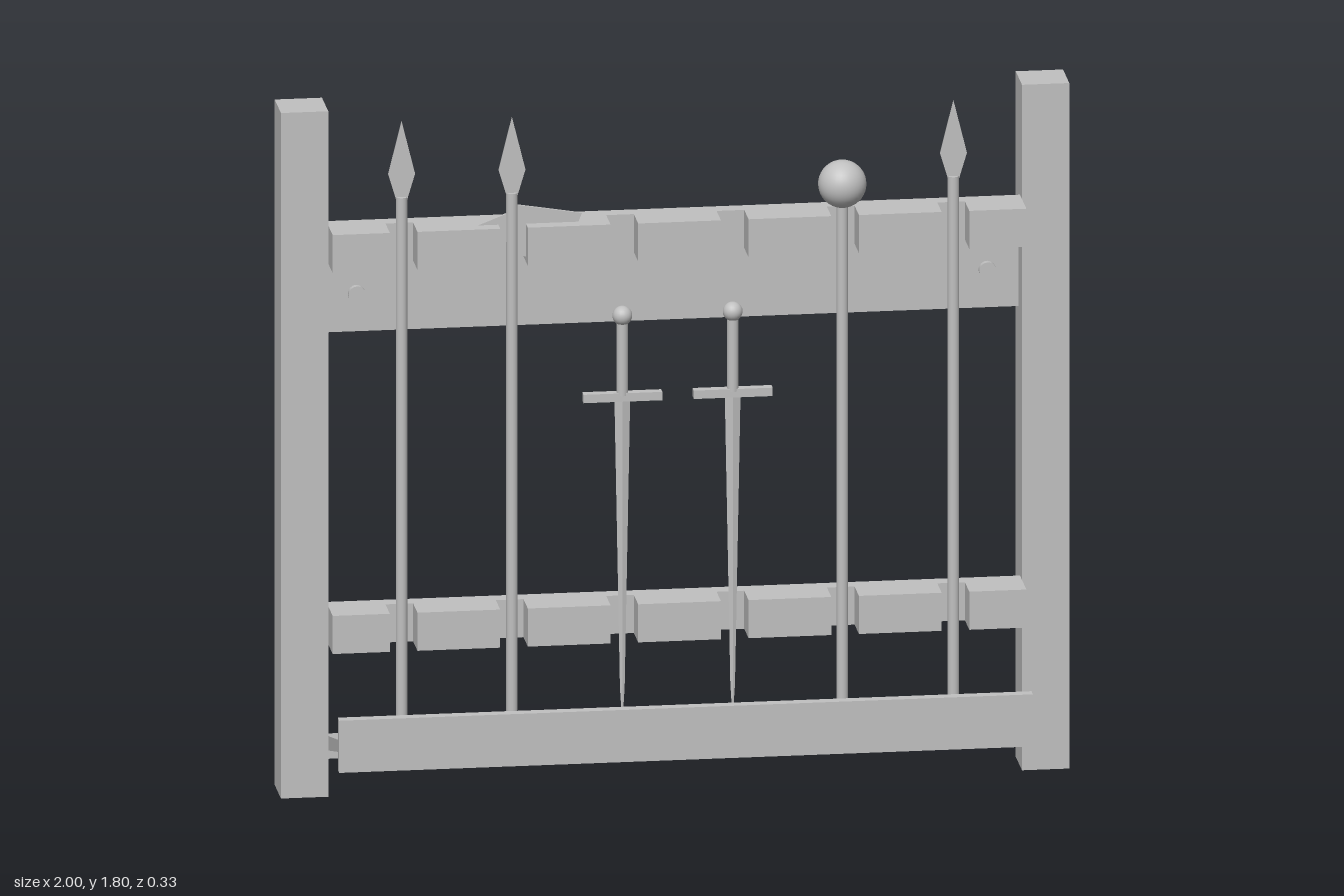
import * as THREE from 'three';

const grey = new THREE.MeshStandardMaterial({ color: 0xc0c0c0 });
grey.name = 'plain grey';

function add(parent, name, geometry, x = 0, y = 0, z = 0) {
  const mesh = new THREE.Mesh(geometry, grey);
  mesh.name = name;
  mesh.position.set(x, y, z);
  parent.add(mesh);
  return mesh;
}

// Box given by its limits on each axis
function box(parent, name, x0, x1, y0, y1, z0, z1) {
  return add(parent, name, new THREE.BoxGeometry(x1 - x0, y1 - y0, z1 - z0),
    (x0 + x1) / 2, (y0 + y1) / 2, (z0 + z1) / 2);
}

// Flat plate in the xy plane, centred on z = 0
function plate(parent, name, points, depth) {
  const shape = new THREE.Shape(points.map(([x, y]) => new THREE.Vector2(x, y)));
  const g = new THREE.ExtrudeGeometry(shape, { depth, bevelEnabled: false });
  g.translate(0, 0, -depth / 2);
  return add(parent, name, g);
}

function shaft(parent, name, y0, y1, r = 0.0145) {
  return add(parent, name, new THREE.CylinderGeometry(r, r, y1 - y0, 16), 0, (y0 + y1) / 2, 0);
}

const SLOTS = [-0.7, -0.42, -0.14, 0.14, 0.42, 0.7];
const W = 0.88;

// Rail with notches open to the front
function notchedRail(parent, name, y) {
  const front = -0.04, floor = 0.043, back = 0.084, half = 0.035;
  const s = new THREE.Shape();
  s.moveTo(-W, front);
  for (const x of SLOTS) {
    s.lineTo(x - half, front);
    s.lineTo(x - half, floor);
    s.lineTo(x + half, floor);
    s.lineTo(x + half, front);
  }
  s.lineTo(W, front);
  s.lineTo(W, back);
  s.lineTo(-W, back);
  const g = new THREE.ExtrudeGeometry(s, { depth: 0.1, bevelEnabled: false });
  g.rotateX(-Math.PI / 2);
  add(parent, name, g, 0, y, 0);
}

function spear(parent, name, x) {
  const g = new THREE.Group();
  g.name = name;
  g.position.x = x;
  parent.add(g);
  shaft(g, 'spearShaft', 0.175, 1.582);
  plate(g, 'spearHead', [[-0.014, 1.575], [0.014, 1.575], [0.034, 1.642], [0, 1.78], [-0.034, 1.642]], 0.006);
  return g;
}

function sword(parent, name, x) {
  const g = new THREE.Group();
  g.name = name;
  g.position.x = x;
  parent.add(g);
  add(g, 'pommel', new THREE.SphereGeometry(0.025, 20, 14), 0, 1.248, 0);
  shaft(g, 'grip', 1.04, 1.235);
  box(g, 'crossGuard', -0.1, 0.1, 1.025, 1.047, -0.012, 0.012);
  // Four-sided tapering blade, flattened front to back
  const profile = [[0, 0.175], [0.006, 0.27], [0.02, 1.03]].map(([r, y]) => new THREE.Vector2(r, y));
  const blade = new THREE.LatheGeometry(profile, 4).toNonIndexed();
  blade.scale(1, 1, 0.4);
  blade.computeVertexNormals();
  add(g, 'blade', blade);
}

export function createModel() {
  const model = new THREE.Group();
  model.name = 'weaponRack';

  // Frame
  for (const s of [-1, 1]) {
    box(model, s > 0 ? 'leftPost' : 'rightPost', s * 0.94 - 0.06, s * 0.94 + 0.06, 0, 1.8, -0.165, -0.045);
    const peg = add(model, 'peg', new THREE.CylinderGeometry(0.022, 0.022, 0.03, 16), s * 0.8, 1.3, -0.11);
    peg.rotation.x = Math.PI / 2;
  }
  box(model, 'backBeam', -W, W, 1.2, 1.4, -0.165, -0.11);
  notchedRail(model, 'upperRail', 1.4);
  notchedRail(model, 'lowerRail', 0.4);

  // Sloping shelf with a front lip and a back rail
  const section = [[0.137, 0.172], [0.137, 0.204], [-0.165, 0.13], [-0.165, 0.088]];
  const shelf = new THREE.Shape(section.map(([z, y]) => new THREE.Vector2(-z, y)));
  const shelfGeometry = new THREE.ExtrudeGeometry(shelf, { depth: 2 * W, bevelEnabled: false });
  shelfGeometry.rotateY(Math.PI / 2);
  add(model, 'shelf', shelfGeometry, -W, 0, 0);
  box(model, 'shelfLip', -W, W, 0.125, 0.262, 0.137, 0.165);
  box(model, 'shelfBackRail', -W, W, 0.08, 0.13, -0.165, -0.11);

  // Weapons
  spear(model, 'rightSpear', -0.7);
  spear(model, 'leftSpear', 0.7);
  const halberd = spear(model, 'halberd', -0.42);
  plate(halberd, 'axeBlade', [[0.01, 1.42], [0.16, 1.382], [0.152, 1.42], [0.16, 1.48],
    [0.177, 1.522], [0.01, 1.55]], 0.008);
  plate(halberd, 'backSpike', [[-0.008, 1.45], [-0.008, 1.53], [-0.1, 1.495]], 0.008);
  sword(model, 'rightSword', -0.14);
  sword(model, 'leftSword', 0.14);

  const mace = new THREE.Group();
  mace.name = 'mace';
  mace.position.x = 0.418;
  model.add(mace);
  shaft(mace, 'maceShaft', 0.175, 1.55);
  add(mace, 'maceBall', new THREE.SphereGeometry(0.061, 32, 20), 0, 1.572, 0);

  return model;
}
